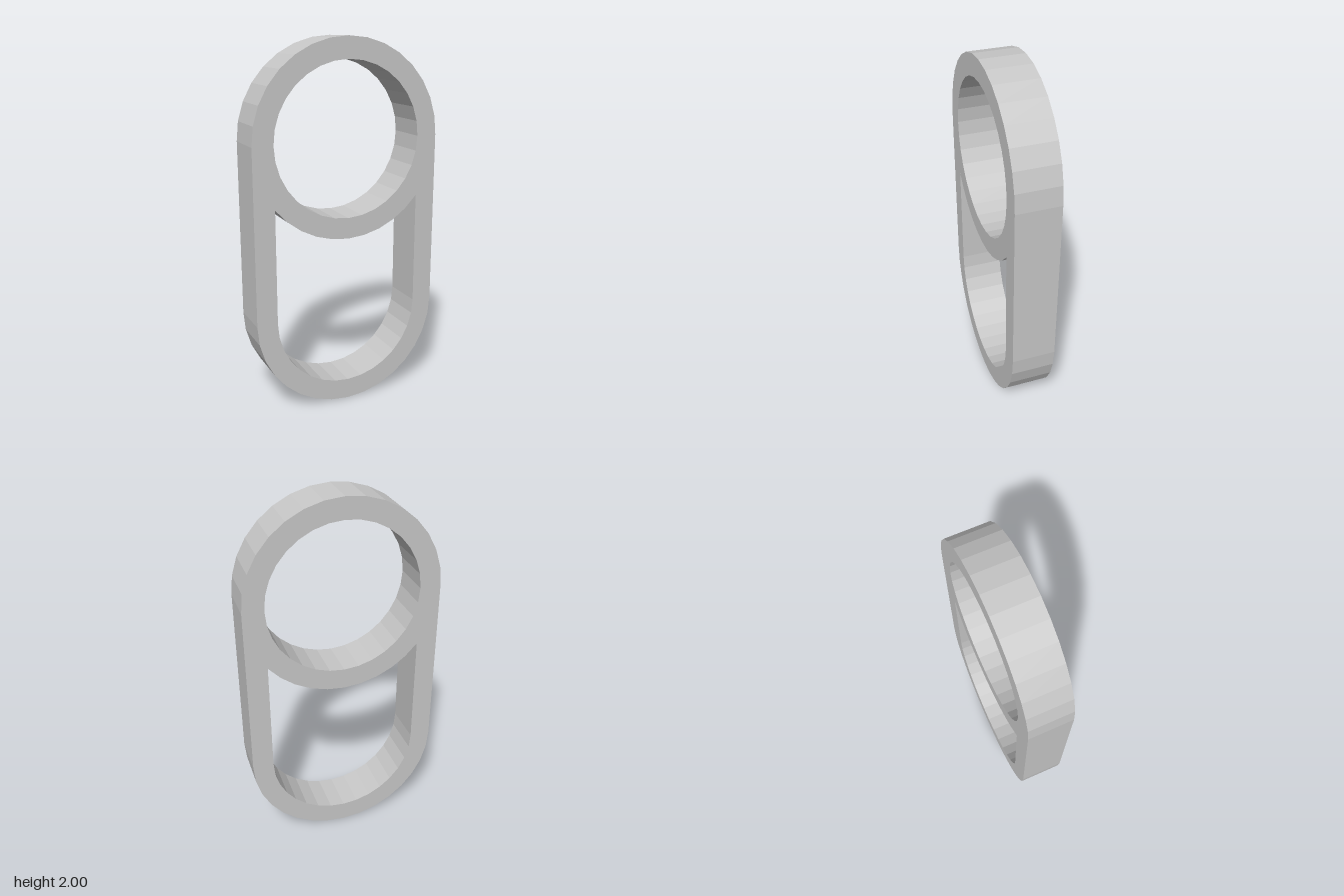
import * as THREE from 'three';

const OUTER = 0.527, INNER = 0.413, DEPTH = 0.235;
const TOP_Y = 1.473, LOW_Y = 0.527;

// points along an arc centred on x = 0, angles in radians
function arc(y, r, from, to, steps) {
  const pts = [];
  for (let i = 0; i <= steps; i++) {
    const a = from + (to - from) * i / steps;
    pts.push(new THREE.Vector2(r * Math.cos(a), y + r * Math.sin(a)));
  }
  return pts;
}

export function createModel() {
  const model = new THREE.Group();
  model.name = 'ringLink';
  const grey = new THREE.MeshStandardMaterial({ color: 0xc8c8c8 });
  grey.name = 'plain grey';
  const PI = Math.PI;

  // stadium outline
  const outline = new THREE.Shape([
    ...arc(TOP_Y, OUTER, 0, PI, 16),
    ...arc(LOW_Y, OUTER, PI, 2 * PI, 16),
  ]);

  // round upper opening
  outline.holes.push(new THREE.Path(arc(TOP_Y, INNER, 0, 2 * PI, 32).slice(0, -1)));

  // lower opening, cut off above by the underside of the ring
  const meet = Math.acos(INNER / OUTER);
  outline.holes.push(new THREE.Path([
    ...arc(LOW_Y, INNER, PI, 2 * PI, 16),
    ...arc(TOP_Y, OUTER, 2 * PI - meet, PI + meet, 10),
  ]));

  const geometry = new THREE.ExtrudeGeometry(outline, { depth: DEPTH, bevelEnabled: false });
  geometry.translate(0, 0, -DEPTH / 2);
  const frame = new THREE.Mesh(geometry, grey);
  frame.name = 'frame';
  model.add(frame);
  return model;
}
